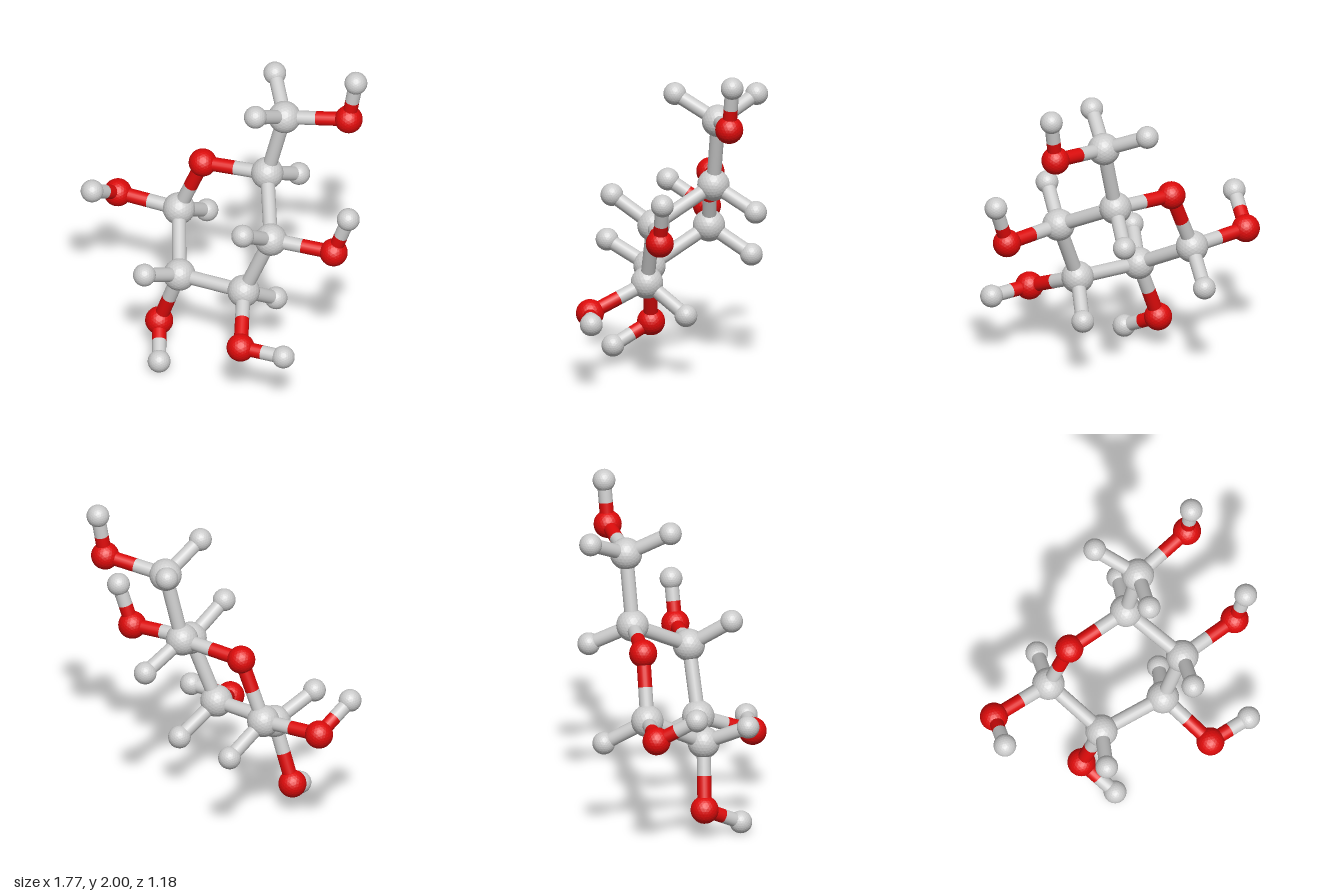
import * as THREE from 'three';

const grey = new THREE.MeshStandardMaterial({ color: 0xcccccc, flatShading: true });
const greySmooth = new THREE.MeshStandardMaterial({ color: 0xcccccc });
const red = new THREE.MeshStandardMaterial({ color: 0xdd0b0b, flatShading: true });
const redSmooth = new THREE.MeshStandardMaterial({ color: 0xdd0b0b });

// Ball radius and materials per element
const kinds = {
  C: { name: 'carbon', radius: 0.098, ball: grey, rod: greySmooth },
  O: { name: 'oxygen', radius: 0.085, ball: red, rod: redSmooth },
  H: { name: 'hydrogen', radius: 0.069, ball: grey, rod: greySmooth },
};
const BOND_RADIUS = 0.043;

// Atom centres; the first letter gives the element
const atoms = {
  C1: [-0.435, 0.79, -0.053],
  C2: [-0.18, 0.58, 0.242],
  C3: [0.23, 0.587, 0.127],
  C4: [0.372, 0.987, 0.041],
  C5: [0.096, 1.193, -0.25],
  C6: [0.184, 1.618, -0.307],
  O5: [-0.292, 1.168, -0.107],
  O1: [-0.806, 0.808, 0.078],
  O2: [-0.312, 0.197, 0.274],
  O3: [0.453, 0.43, 0.416],
  O4: [0.736, 0.977, -0.115],
  O6: [0.535, 1.665, -0.49],
  H1: [-0.44, 0.63, -0.319],
  H2: [-0.218, 0.712, 0.522],
  H3: [0.267, 0.411, -0.131],
  H4: [0.373, 1.157, 0.303],
  H5: [0.114, 1.048, -0.522],
  H6a: [-0.04, 1.745, -0.48],
  H6b: [0.185, 1.766, -0.035],
  HO1: [-0.8, 0.955, 0.324],
  HO2: [-0.151, 0.073, 0.464],
  HO3: [0.713, 0.431, 0.325],
  HO4: [0.816, 1.235, -0.157],
  HO6: [0.568, 1.932, -0.519],
};

const bonds = [
  // ring
  'C1-C2', 'C2-C3', 'C3-C4', 'C4-C5', 'C5-O5', 'O5-C1',
  // side arm and hydroxyl oxygens
  'C5-C6', 'C1-O1', 'C2-O2', 'C3-O3', 'C4-O4', 'C6-O6',
  // hydrogens
  'C1-H1', 'C2-H2', 'C3-H3', 'C4-H4', 'C5-H5', 'C6-H6a', 'C6-H6b',
  'O1-HO1', 'O2-HO2', 'O3-HO3', 'O4-HO4', 'O6-HO6',
];

const UP = new THREE.Vector3(0, 1, 0);

// Open cylinder between two points
function rod(from, to, material, name) {
  const dir = to.clone().sub(from);
  const geometry = new THREE.CylinderGeometry(BOND_RADIUS, BOND_RADIUS, dir.length(), 20, 1, true);
  const mesh = new THREE.Mesh(geometry, material);
  mesh.name = name;
  mesh.position.copy(from).lerp(to, 0.5);
  mesh.quaternion.setFromUnitVectors(UP, dir.normalize());
  return mesh;
}

export function createModel() {
  const model = new THREE.Group();
  model.name = 'molecule';

  // Balls, one shared faceted sphere per element
  const balls = {};
  for (const key in kinds) balls[key] = new THREE.IcosahedronGeometry(kinds[key].radius, 4);
  for (const id in atoms) {
    const kind = kinds[id[0]];
    const mesh = new THREE.Mesh(balls[id[0]], kind.ball);
    mesh.name = `${kind.name} ${id}`;
    mesh.position.set(...atoms[id]);
    model.add(mesh);
  }

  // Bonds: each half takes the colour of the atom it touches
  for (const pair of bonds) {
    const [a, b] = pair.split('-');
    const start = new THREE.Vector3(...atoms[a]);
    const end = new THREE.Vector3(...atoms[b]);
    const middle = start.clone().lerp(end, 0.5);
    const bond = new THREE.Group();
    bond.name = `bond ${pair}`;
    bond.add(rod(start, middle, kinds[a[0]].rod, `bond half ${a}`));
    bond.add(rod(middle, end, kinds[b[0]].rod, `bond half ${b}`));
    model.add(bond);
  }

  return model;
}
